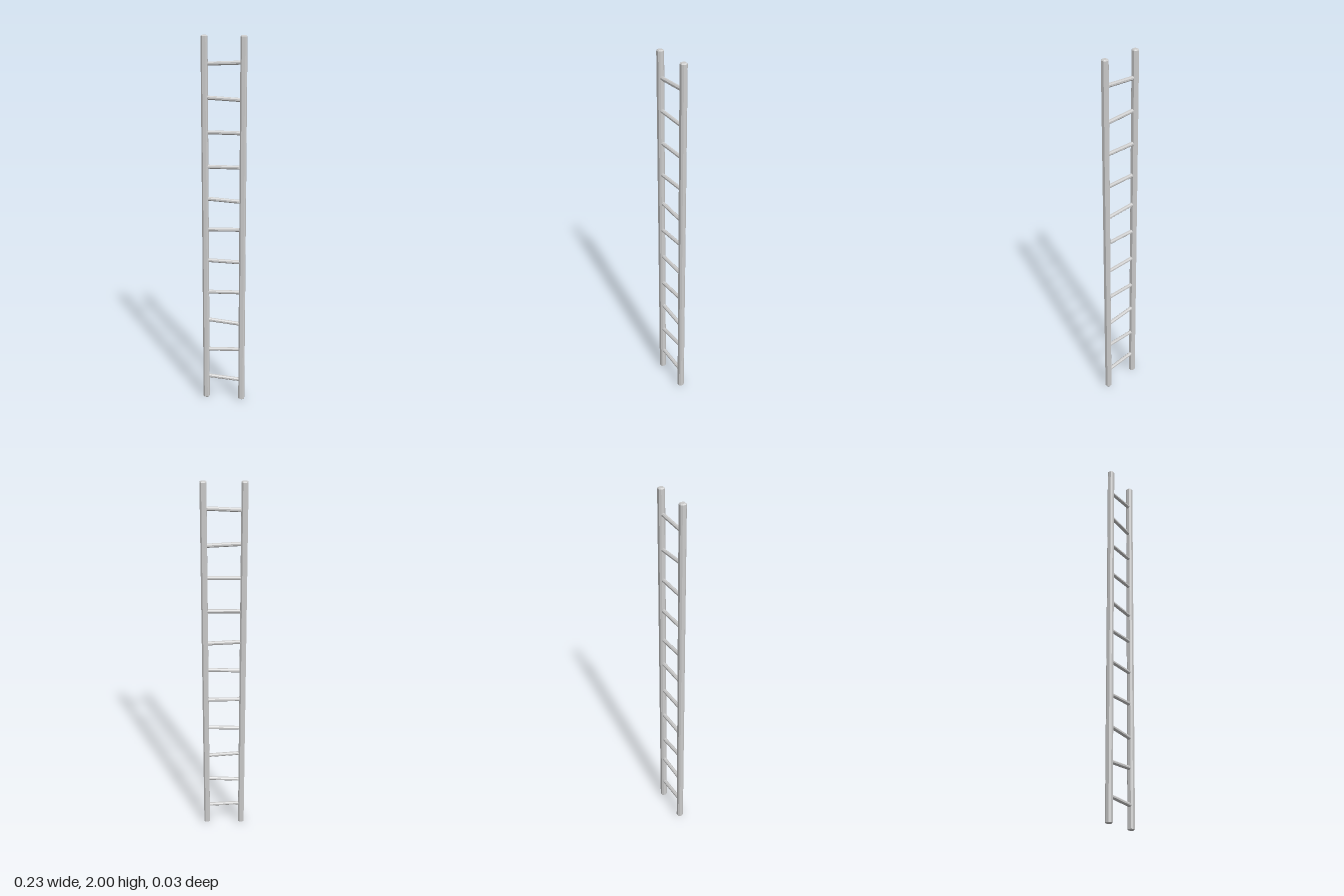
import * as THREE from 'three';

const material = new THREE.MeshStandardMaterial({ color: 0xcccccc, flatShading: true });

// Square post with chamfered edges and bevelled ends, standing on y = 0
function railGeometry(half, height, bevel) {
  const h = half - bevel, c = 0.005;
  const s = new THREE.Shape();
  s.moveTo(-h + c, -h);
  s.lineTo(h - c, -h);
  s.lineTo(h, -h + c);
  s.lineTo(h, h - c);
  s.lineTo(h - c, h);
  s.lineTo(-h + c, h);
  s.lineTo(-h, h - c);
  s.lineTo(-h, -h + c);
  s.closePath();
  const g = new THREE.ExtrudeGeometry(s, {
    depth: height - 2 * bevel, bevelEnabled: true,
    bevelThickness: bevel, bevelSize: bevel, bevelSegments: 1,
  });
  g.translate(0, 0, bevel);
  g.rotateX(-Math.PI / 2);
  return g;
}

export function createModel() {
  const ladder = new THREE.Group();
  ladder.name = 'ladder';

  // Side rails
  const railGeo = railGeometry(0.0165, 2, 0.005);
  for (const side of [-1, 1]) {
    const rail = new THREE.Mesh(railGeo, material);
    rail.name = side > 0 ? 'leftRail' : 'rightRail';
    rail.position.x = side * 0.099;
    ladder.add(rail);
  }

  // Rungs, each slightly crooked: [centre height, rise from -x to +x]
  const rungs = [
    [0.126, -0.012], [0.302, 0.007], [0.469, -0.016], [0.644, 0.004],
    [0.822, -0.004], [1.0, 0.004], [1.161, -0.01], [1.338, 0],
    [1.517, -0.001], [1.689, -0.009], [1.865, 0.007],
  ];
  const rungGeo = new THREE.CylinderGeometry(0.0105, 0.0105, 0.186, 8);
  rungGeo.rotateY(Math.PI / 8);
  rungGeo.rotateZ(-Math.PI / 2);
  rungs.forEach(([y, rise], i) => {
    const rung = new THREE.Mesh(rungGeo, material);
    rung.name = 'rung' + (i + 1);
    rung.position.y = y;
    rung.rotation.z = Math.atan2(rise, 0.17);
    rung.rotation.y = i % 2 ? 0.005 : -0.012;
    ladder.add(rung);
  });

  return ladder;
}
